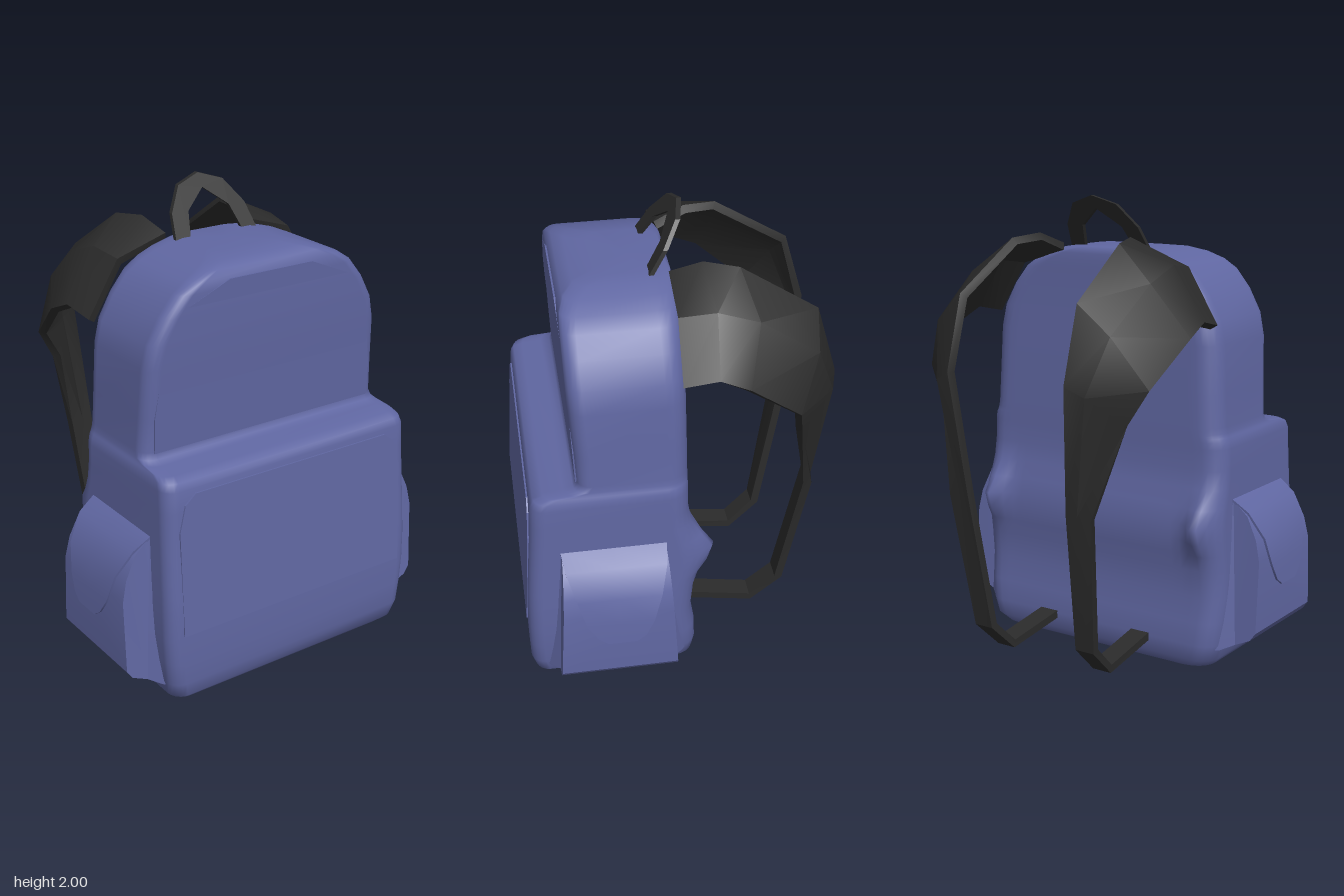
import * as THREE from 'three';
import { toCreasedNormals } from 'three/addons/utils/BufferGeometryUtils.js';

const fabric = new THREE.MeshStandardMaterial({ color: 0x6067a2 });
fabric.name = 'blue fabric';
const webbing = new THREE.MeshStandardMaterial({ color: 0x2b2b2b });
webbing.name = 'black webbing';

function add(group, name, geometry, material) {
  const mesh = new THREE.Mesh(geometry, material);
  mesh.name = name;
  group.add(mesh);
}

function indexed(points, index) {
  const g = new THREE.BufferGeometry();
  g.setAttribute('position', new THREE.Float32BufferAttribute(points.flat(), 3));
  g.setIndex(index);
  return g;
}

// Move every vertex by a rule
function reshape(g, rule) {
  const p = g.attributes.position;
  for (let i = 0; i < p.count; i++) {
    p.setXYZ(i, ...rule(p.getX(i), p.getY(i), p.getZ(i)));
  }
  return g;
}

// Flip a geometry in x and restore its winding
function mirrorX(g) {
  const m = g.index ? g.toNonIndexed() : g.clone();
  const p = m.attributes.position, src = p.clone();
  for (let i = 0; i < p.count; i++) {
    const j = i % 3 === 0 ? i : i % 3 === 1 ? i + 1 : i - 1;
    p.setXYZ(i, -src.getX(j), src.getY(j), src.getZ(j));
  }
  return m;
}

function addPair(group, name, g, material, crease) {
  for (const [side, geo] of [['left', g], ['right', mirrorX(g)]]) {
    geo.deleteAttribute('normal');
    geo.deleteAttribute('uv');
    add(group, side + name, toCreasedNormals(geo, crease), material);
  }
}

// Rounded rectangular section, softer at the back, with extra points along the back
function ring([y, hw, zb, zf]) {
  const pts = [], backSteps = 24, rf = 0.06, rb = 0.09;
  const corners = [[1, zf - rf, rf], [-1, zf - rf, rf], [-1, zb + rb, rb], [1, zb + rb, rb]];
  corners.forEach(([s, z, r], k) => {
    if (k === 3) {
      for (let i = 1; i < backSteps; i++) {
        pts.push([(hw - r) * (2 * i / backSteps - 1), y, zb]);
      }
    }
    for (let i = 0; i <= 5; i++) {
      const a = (k + i / 5) * Math.PI / 2;
      pts.push([s * (hw - r) + r * Math.cos(a), y, z + r * Math.sin(a)]);
    }
  });
  // padded bumps low on both sides of the back
  return pts.map(([x, py, z]) => {
    const d = ((Math.abs(x) - 0.54) / 0.05) ** 2 + ((py - 0.64) / 0.09) ** 2;
    return [x, py, z < 0.1 ? z - 0.075 * Math.exp(-d) : z];
  });
}

function loft(levels) {
  const rings = levels.map(ring), n = rings[0].length, pts = rings.flat(), idx = [];
  const bottom = pts.length, top = bottom + 1, last = (rings.length - 1) * n;
  const mid = (l) => [0, l[0], (l[2] + l[3]) / 2];
  pts.push(mid(levels[0]), mid(levels[levels.length - 1]));
  for (let i = 0; i < n; i++) {
    const k = (i + 1) % n;
    for (let j = 0; j < rings.length - 1; j++) {
      const a = j * n + i, b = j * n + k, c = a + n, d = b + n;
      idx.push(a, c, b, b, c, d);
    }
    idx.push(bottom, i, k, top, last + k, last + i);
  }
  const g = indexed(pts, idx);
  g.computeVertexNormals();
  return g;
}

// Thick sheet from rows of points
function sheet(rows, thickness) {
  const R = rows.length, C = rows[0].length, idx = [];
  const V = rows.map(row => row.map(p => new THREE.Vector3(...p)));
  const front = [], back = [];
  for (let r = 0; r < R; r++) for (let c = 0; c < C; c++) {
    const u = V[r][Math.min(c + 1, C - 1)].clone().sub(V[r][Math.max(c - 1, 0)]);
    const v = V[Math.min(r + 1, R - 1)][c].clone().sub(V[Math.max(r - 1, 0)][c]);
    const n = u.cross(v).normalize();
    front.push(V[r][c].toArray());
    back.push(V[r][c].clone().addScaledVector(n, -thickness).toArray());
  }
  const N = R * C;
  for (let r = 0; r < R - 1; r++) for (let c = 0; c < C - 1; c++) {
    const a = r * C + c, b = a + 1, d = a + C, e = d + 1;
    idx.push(a, b, d, b, e, d, N + a, N + d, N + b, N + b, N + d, N + e);
  }
  const wall = (a, b) => idx.push(a, b, N + a, b, N + b, N + a);
  for (let r = 0; r < R - 1; r++) {
    wall(r * C, (r + 1) * C);
    wall((r + 2) * C - 1, (r + 1) * C - 1);
  }
  for (let c = 0; c < C - 1; c++) {
    wall(c + 1, c);
    wall((R - 1) * C + c, (R - 1) * C + c + 1);
  }
  return indexed([...front, ...back], idx);
}

// Symmetric outline from its right half, listed upwards
function symmetricShape(half) {
  const pts = [...half, ...half.slice().reverse().map(([x, y]) => [-x, y])];
  return new THREE.Shape(pts.map(p => new THREE.Vector2(...p)));
}

function plate(shape, depth, zAt) {
  const g = new THREE.ExtrudeGeometry(shape, { depth, bevelEnabled: false });
  reshape(g, (x, y, z) => [x, y, z + zAt(y)]);
  g.computeVertexNormals();
  return g;
}

export function createModel() {
  const model = new THREE.Group();
  model.name = 'backpack';

  // Body sections: height, half width, back, front
  add(model, 'body', loft([
    [0, 0.52, 0.0, 0.57], [0.012, 0.555, -0.02, 0.61], [0.05, 0.59, -0.05, 0.65],
    [0.12, 0.608, -0.057, 0.667], [0.22, 0.618, -0.052, 0.67], [0.33, 0.625, -0.035, 0.67],
    [0.45, 0.625, -0.045, 0.667], [0.52, 0.623, -0.055, 0.663], [0.58, 0.622, -0.062, 0.658],
    [0.65, 0.62, -0.06, 0.653], [0.72, 0.618, -0.05, 0.647], [0.8, 0.616, -0.03, 0.641],
    [0.88, 0.614, -0.02, 0.636], [0.97, 0.612, -0.02, 0.63], [1.0, 0.607, -0.02, 0.615],
    [1.016, 0.6, -0.02, 0.575], [1.024, 0.597, -0.02, 0.49], [1.034, 0.594, -0.02, 0.45],
    [1.06, 0.59, -0.02, 0.435], [1.2, 0.582, -0.018, 0.443], [1.4, 0.572, -0.014, 0.455],
    [1.5, 0.55, -0.012, 0.459], [1.6, 0.495, -0.01, 0.461], [1.68, 0.43, -0.01, 0.461],
    [1.72, 0.37, -0.01, 0.456], [1.75, 0.3, -0.008, 0.435], [1.77, 0.23, -0.005, 0.39],
    [1.78, 0.17, 0.01, 0.3],
  ]), fabric);

  // Front panels
  add(model, 'upperFrontPanel', plate(symmetricShape([
    [0.54, 1.055], [0.54, 1.2], [0.5, 1.45], [0.4, 1.63], [0.2, 1.715],
  ]), 0.009, y => 0.431 + (y - 1.05) * 0.036), fabric);
  add(model, 'lowerFrontPanel', plate(symmetricShape([
    [0.56, 0.35], [0.56, 0.8], [0.53, 0.91], [0.48, 0.95],
  ]), 0.009, y => 0.667 - (y - 0.35) * 0.063), fabric);

  // Side pockets, widening towards the bottom and flaring into the body
  const profile = [[0.56, 0.1], [0.61, 0.1], [0.66, 0.122], [0.73, 0.155], [0.755, 0.19],
    [0.755, 0.5], [0.735, 0.59], [0.69, 0.685], [0.62, 0.745], [0.56, 0.745]];
  const pocket = new THREE.ExtrudeGeometry(
    new THREE.Shape(profile.map(p => new THREE.Vector2(...p))),
    { depth: 2, bevelEnabled: false });
  reshape(pocket, (x, y, z) => {
    const flare = y < 0.2 ? 0.8 * Math.max(0, 0.66 - x) : 0;
    return [x, y, 0.3 + (z - 1) * (0.25 + flare - 0.058 * Math.max(0, y - 0.15))];
  });
  addPair(model, 'SidePocket', pocket, fabric, 0.5);

  // Pocket flaps: x, y and the z range of each row
  const flap = [[0.615, 0.752, 0.08, 0.52], [0.69, 0.7, 0.09, 0.507], [0.755, 0.59, 0.12, 0.47],
    [0.775, 0.47, 0.155, 0.435], [0.782, 0.4, 0.19, 0.39], [0.785, 0.37, 0.23, 0.35]]
    .map(([x, y, a, b]) => [[x, y, a], [x, y, (a + b) / 2], [x, y, b]]);
  addPair(model, 'PocketFlap', sheet(flap, 0.01), fabric, 0.6);

  // Shoulder straps: inner edge, middle and outer edge of each row
  const strap = [
    [[0.2, 1.79, 0.01], [0.43, 1.72, 0.01], [0.57, 1.49, 0.01]],
    [[0.23, 1.84, -0.12], [0.45, 1.74, -0.14], [0.59, 1.52, -0.13]],
    [[0.27, 1.825, -0.26], [0.45, 1.68, -0.31], [0.6, 1.47, -0.25]],
    [[0.29, 1.62, -0.58], [0.43, 1.5, -0.56], [0.55, 1.29, -0.47]],
    [[0.29, 1.31, -0.67], [0.37, 1.27, -0.645], [0.47, 1.15, -0.5]],
    [[0.25, 0.78, -0.605], [0.3, 0.78, -0.6], [0.36, 0.77, -0.59]],
    [[0.22, 0.18, -0.5], [0.265, 0.18, -0.5], [0.31, 0.18, -0.5]],
    [[0.21, 0.05, -0.36], [0.255, 0.05, -0.36], [0.3, 0.05, -0.36]],
    [[0.2, 0.1, -0.03], [0.245, 0.1, -0.03], [0.29, 0.1, -0.03]],
  ];
  addPair(model, 'ShoulderStrap', sheet(strap, 0.035), webbing, 0.5);

  // Carry handle, leaning back
  const arch = [[-0.2, 1.77], [-0.18, 1.87], [-0.11, 1.965], [0, 2], [0.11, 1.965], [0.18, 1.87],
    [0.2, 1.77], [0.13, 1.77], [0.1, 1.87], [0, 1.945], [-0.1, 1.87], [-0.13, 1.77]];
  add(model, 'carryHandle', plate(new THREE.Shape(arch.reverse().map(p => new THREE.Vector2(...p))),
    0.02, y => 0.065 - (y - 1.78) * 0.62), webbing);

  return model;
}
